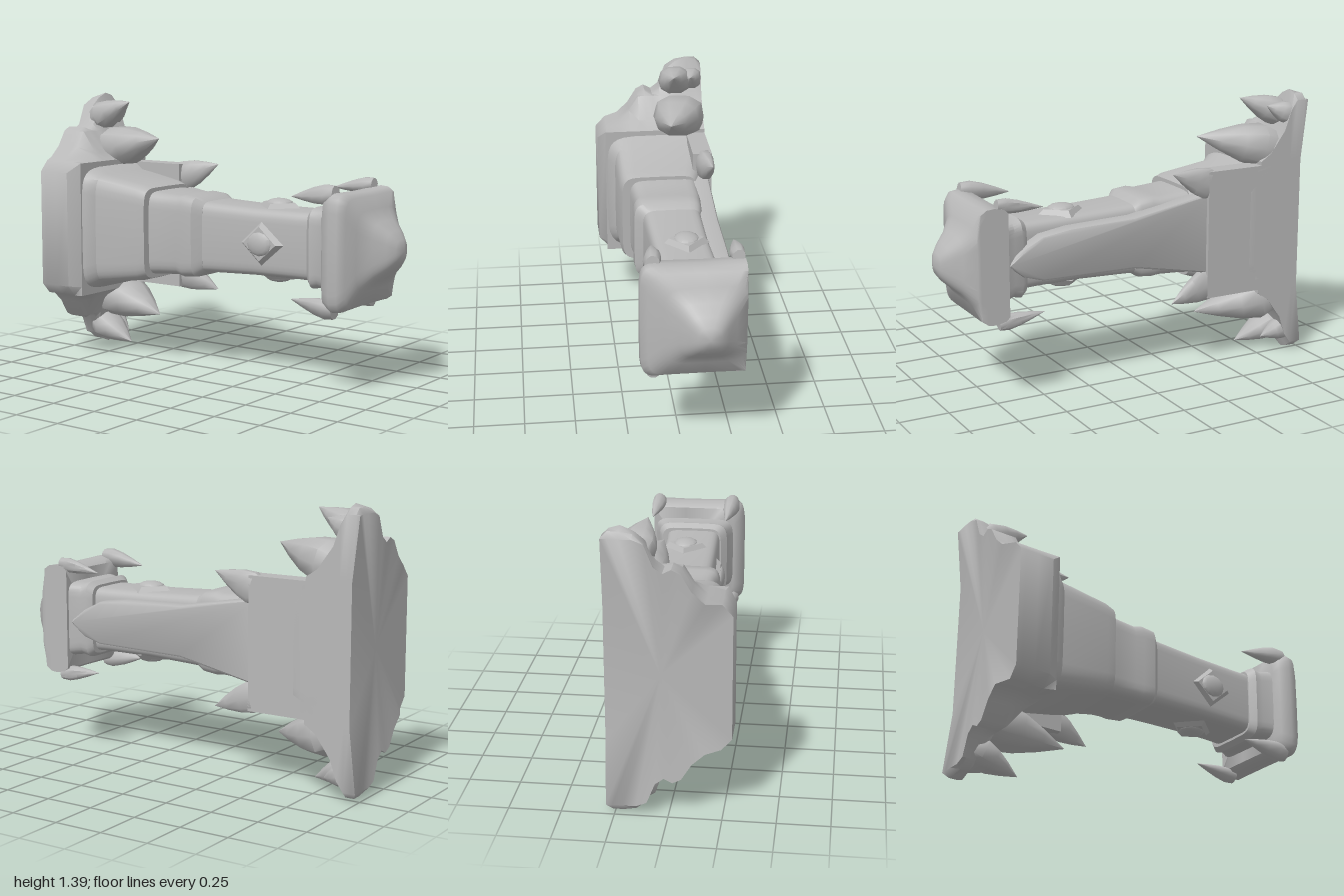
import * as THREE from 'three';
import { toCreasedNormals } from 'three/addons/utils/BufferGeometryUtils.js';

const CUT = 0.29; // flat left side of the model
const MID = 0.7;  // height of the mirror plane

const stone = new THREE.MeshStandardMaterial({ color: 0xb8b8b8 });
stone.name = 'grey stone';
stone.side = THREE.DoubleSide;

// Skin a list of equal-length rings running towards +z and cap both ends
function loft(rings, startDepth = 0, endDepth = 0) {
  const pos = [];
  const tri = (...pts) => pts.forEach((p) => pos.push(...p));
  const n = rings[0].length;
  const centre = (ring, dz) => {
    const c = [0, 0, dz];
    ring.forEach((p) => p.forEach((v, k) => { c[k] += v / n; }));
    return c;
  };
  const first = rings[0], last = rings[rings.length - 1];
  const c0 = centre(first, startDepth), c1 = centre(last, endDepth);
  for (let j = 0; j < n; j++) {
    const k = (j + 1) % n;
    for (let i = 0; i < rings.length - 1; i++) {
      const a = rings[i], b = rings[i + 1];
      tri(a[j], a[k], b[j]);
      tri(a[k], b[k], b[j]);
    }
    tri(c0, first[k], first[j]);
    tri(c1, last[j], last[k]);
  }
  const g = new THREE.BufferGeometry();
  g.setAttribute('position', new THREE.Float32BufferAttribute(pos, 3));
  return g;
}

// Rounded rectangle in xy; a smaller exponent gives squarer corners,
// and sag pulls in the middle of the top and bottom edges
function ring(z, x0, x1, h, e = 0.3, n = 32, cy = MID, sag = 0) {
  const pow = (v) => Math.sign(v) * Math.pow(Math.abs(v), e);
  return Array.from({ length: n }, (_, i) => {
    const a = (i / n) * Math.PI * 2;
    const u = pow(Math.cos(a));
    return [(x0 + x1) / 2 + ((x1 - x0) / 2) * u, cy + h * pow(Math.sin(a)) * (1 - sag * (1 - u ** 4)), z];
  });
}

// Keep everything on one side of the flat cut
function clip(g) {
  const p = g.attributes.position;
  for (let i = 0; i < p.count; i++) p.setX(i, Math.min(p.getX(i), CUT));
  return g;
}

function part(name, geometry, crease = 0.65) {
  const mesh = new THREE.Mesh(toCreasedNormals(clip(geometry), crease), stone);
  mesh.name = name;
  return mesh;
}

// Pointed thorn with a swollen root
function spike(name, root, tip, rx, ry) {
  const from = new THREE.Vector3(...root), to = new THREE.Vector3(...tip);
  const len = from.distanceTo(to);
  const profile = [[0, 0.8], [0.2, 1], [0.45, 0.82], [0.72, 0.46], [1, 0.01]];
  const g = loft(profile.map(([t, r]) => ring(t * len, -rx * r, rx * r, ry * r, 0.85, 10, 0)));
  const q = new THREE.Quaternion().setFromUnitVectors(new THREE.Vector3(0, 0, 1), to.sub(from).normalize());
  g.applyQuaternion(q).translate(...root);
  return part(name, g, 0.9);
}

// Diamond frame with a domed stone, facing +y before rotation
function gem(name, x, y, z, roll) {
  const group = new THREE.Group();
  const frame = new THREE.CylinderGeometry(0.085, 0.115, 0.03, 4);
  frame.scale(1, 1, 1.12);
  const dome = new THREE.SphereGeometry(0.062, 12, 8);
  dome.scale(1, 0.42, 1.15).translate(0, 0.01, 0);
  [frame, dome].forEach((g, i) => {
    g.rotateZ(roll).translate(x, y, z);
    group.add(part(i ? 'gemStone' : 'gemFrame', g));
  });
  group.name = name;
  return group;
}

export function createModel() {
  const model = new THREE.Group();

  // Flared wall plate: a ragged outline whose height grows towards the back
  const upper = [[0.29, 0.34], [0.29, 0.65], [0.26, 0.68], [0.21, 0.695], [0.15, 0.67], [0.1, 0.63],
    [0.06, 0.53], [0.02, 0.5], [-0.02, 0.52], [-0.06, 0.5], [-0.11, 0.42], [-0.17, 0.365],
    [-0.24, 0.355], [-0.29, 0.3]];
  const outline = [...upper, ...upper.map(([x, y]) => [x, -y]).reverse()];
  const flare = [[-0.995, 0.65], [-0.975, 0.68], [-0.93, 0.695], [-0.895, 0.6], [-0.86, 0.5],
    [-0.78, 0.39], [-0.72, 0.35]];
  model.add(part('wallPlate', loft(flare.map(([z, h], i) => outline.map(([x, y]) => [
    i === flare.length - 1 && x < -0.22 ? -0.25 : x,
    MID + THREE.MathUtils.clamp(y, -h, h),
    Math.abs(y) < 0.36 ? Math.max(z, -0.96 + 0.002 * i) : z])), 0.03), 0.8));

  // Stepped socket and the sleeve in front of it
  model.add(part('socketBlock', loft([
    ring(-0.8, -0.25, 0.5, 0.34), ring(-0.7, -0.24, 0.5, 0.32), ring(-0.66, -0.205, 0.3, 0.29),
    ring(-0.4, -0.2, 0.23, 0.25), ring(-0.35, -0.19, 0.21, 0.235)])));
  model.add(part('sleeve', loft([
    ring(-0.45, -0.16, 0.22, 0.225), ring(-0.3, -0.145, 0.21, 0.212), ring(-0.19, -0.14, 0.21, 0.205),
    ring(-0.15, -0.152, 0.205, 0.212), ring(-0.08, -0.15, 0.2, 0.205), ring(-0.04, -0.11, 0.19, 0.178)])));

  // Flat cheek on the left of the socket
  const cheek = new THREE.BoxGeometry(0.1, 0.66, 0.5);
  cheek.translate(0.24, MID, -0.66);
  model.add(part('sideCheek', cheek));

  // Shaft
  model.add(part('shaft', loft([
    ring(-0.3, -0.13, 0.2, 0.195), ring(0, -0.105, 0.19, 0.178), ring(0.25, -0.095, 0.19, 0.168),
    ring(0.5, -0.085, 0.2, 0.166), ring(0.75, -0.08, 0.22, 0.17)])));
  model.add(part('collar', loft([
    ring(0.57, -0.09, 0.23, 0.18), ring(0.6, -0.12, 0.25, 0.2), ring(0.64, -0.12, 0.25, 0.19),
    ring(0.72, -0.16, 0.3, 0.2)])));

  // Long blade along the left of the shaft
  const edge = [[-0.45, 0.92], [0, 0.84], [0.35, 0.83], [0.5, 0.81], [0.6, 0.76], [0.69, 0.69],
    [0.6, 0.62], [0.5, 0.59], [0, 0.58], [-0.45, 0.49]];
  const blade = new THREE.ExtrudeGeometry(new THREE.Shape(edge.map(([z, y]) => new THREE.Vector2(-z, y))),
    { depth: 0.06, bevelEnabled: true, bevelSize: 0.012, bevelThickness: 0.02, bevelOffset: -0.012, bevelSegments: 2 });
  blade.rotateY(Math.PI / 2).translate(0.19, 0, 0);
  model.add(part('sideBlade', blade));

  // Head: broad rim with raised corners and a blunt rounded pyramid in front
  const rim = (z, x0, x1, h, sag) => ring(z, x0, x1, h, 0.3, 32, MID, sag);
  model.add(part('head', loft([
    rim(0.69, -0.15, 0.38, 0.27, 0.05), rim(0.71, -0.18, 0.39, 0.3, 0.1), rim(0.76, -0.205, 0.4, 0.322, 0.14),
    rim(0.8, -0.2, 0.4, 0.315, 0.13), rim(0.832, -0.17, 0.37, 0.275, 0.06), ring(0.85, -0.1, 0.3, 0.195, 0.4),
    ring(0.9, -0.035, 0.235, 0.14, 0.5), ring(0.95, 0.01, 0.19, 0.095, 0.6),
    ring(0.982, 0.045, 0.155, 0.055, 0.75)], 0, 0.018), 0.9));

  // Gems on three sides of the shaft
  model.add(gem('topGem', 0.07, 0.875, 0.31, 0));
  model.add(gem('bottomGem', 0.07, 0.525, 0.31, Math.PI));
  model.add(gem('sideGem', -0.1, MID, 0.31, Math.PI / 2));

  // Thorns and claws, mirrored above and below
  const thorns = [
    ['tipThorn', [0.15, 0.56, -0.93], [0.12, 0.655, -0.69], 0.09, 0.075],
    ['smallThorn', [0.24, 0.57, -0.93], [0.22, 0.62, -0.79], 0.06, 0.06],
    ['largeThorn', [0.18, 0.39, -0.87], [0.08, 0.47, -0.46], 0.145, 0.115],
    ['sideThorn', [0.25, 0.25, -0.46], [0.27, 0.335, -0.21], 0.05, 0.08],
    ['rightClaw', [-0.14, 0.28, 0.76], [-0.12, 0.25, 0.5], 0.05, 0.04],
    ['leftClaw', [0.26, 0.29, 0.74], [0.27, 0.26, 0.5], 0.04, 0.035],
  ];
  for (const s of [1, -1]) {
    for (const [name, root, tip, rx, ry] of thorns) {
      const flip = ([x, y, z]) => [x, MID + s * y, z];
      model.add(spike((s > 0 ? 'upper ' : 'lower ') + name, flip(root), flip(tip), rx, ry));
    }
  }
  return model;
}
